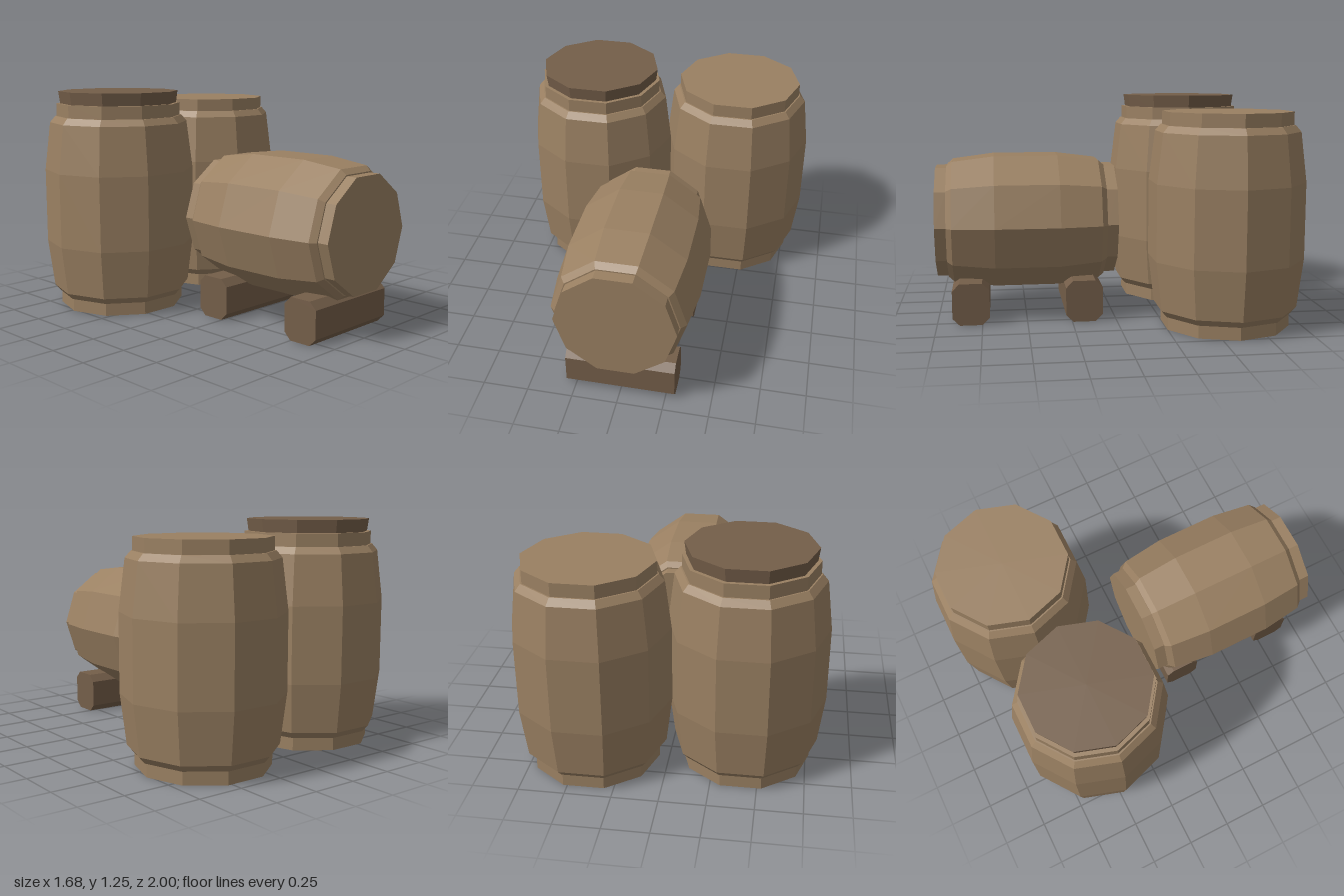
import * as THREE from 'three';

const wood = new THREE.MeshStandardMaterial({ color: 0x9a8062, flatShading: true });
const darkWood = new THREE.MeshStandardMaterial({ color: 0x745e49, flatShading: true });

// Ten-sided turned solid with a corner on +x and -x
function turned(name, profile, material) {
  const points = profile.map(([r, y]) => new THREE.Vector2(r, y));
  const geometry = new THREE.LatheGeometry(points, 10, Math.PI / 2);
  const mesh = new THREE.Mesh(geometry, material);
  mesh.name = name;
  return mesh;
}

// Bulging barrel with a narrower end piece at top and bottom
function barrel(name) {
  return turned(name, [
    [0, 0], [0.357, 0], [0.357, 0.072], [0.365, 0.072], [0.396, 0.108],
    [0.43, 0.38], [0.43, 0.8],
    [0.396, 1.072], [0.365, 1.108], [0.357, 1.108], [0.357, 1.18], [0, 1.18],
  ], wood);
}

// Chamfered beam lying along x
function beam(name, z) {
  const w = 0.103, h = 0.117, c = 0.04;
  const shape = new THREE.Shape([
    [w, c - h], [w, h - c], [w - c, h], [c - w, h],
    [-w, h - c], [-w, c - h], [c - w, -h], [w - c, -h],
  ].map(([x, y]) => new THREE.Vector2(x, y)));
  const geometry = new THREE.ExtrudeGeometry(shape, { depth: 0.6, bevelEnabled: false });
  geometry.translate(0, 0, -0.3).rotateY(Math.PI / 2);
  const mesh = new THREE.Mesh(geometry, darkWood);
  mesh.name = name;
  mesh.position.set(0, h, z);
  return mesh;
}

export function createModel() {
  const model = new THREE.Group();
  model.name = 'barrels';

  // Upright barrels at the back
  const left = barrel('leftBarrel');
  left.position.set(0.412, 0, -0.59);

  const right = new THREE.Group();
  right.name = 'liddedBarrel';
  right.position.set(-0.413, 0, -0.482);
  right.add(
    barrel('rightBarrel'),
    turned('lid', [[0, 1.17], [0.334, 1.17], [0.345, 1.25], [0, 1.25]], darkWood),
  );

  // Smaller barrel lying on two beams, pointing forward
  const lying = barrel('lyingBarrel');
  lying.scale.set(0.907, 0.856, 0.907);
  lying.rotation.x = Math.PI / 2;
  lying.position.set(0, 0.55, -0.01);

  model.add(left, right, lying, beam('frontBeam', 0.812), beam('backBeam', 0.182));
  return model;
}
